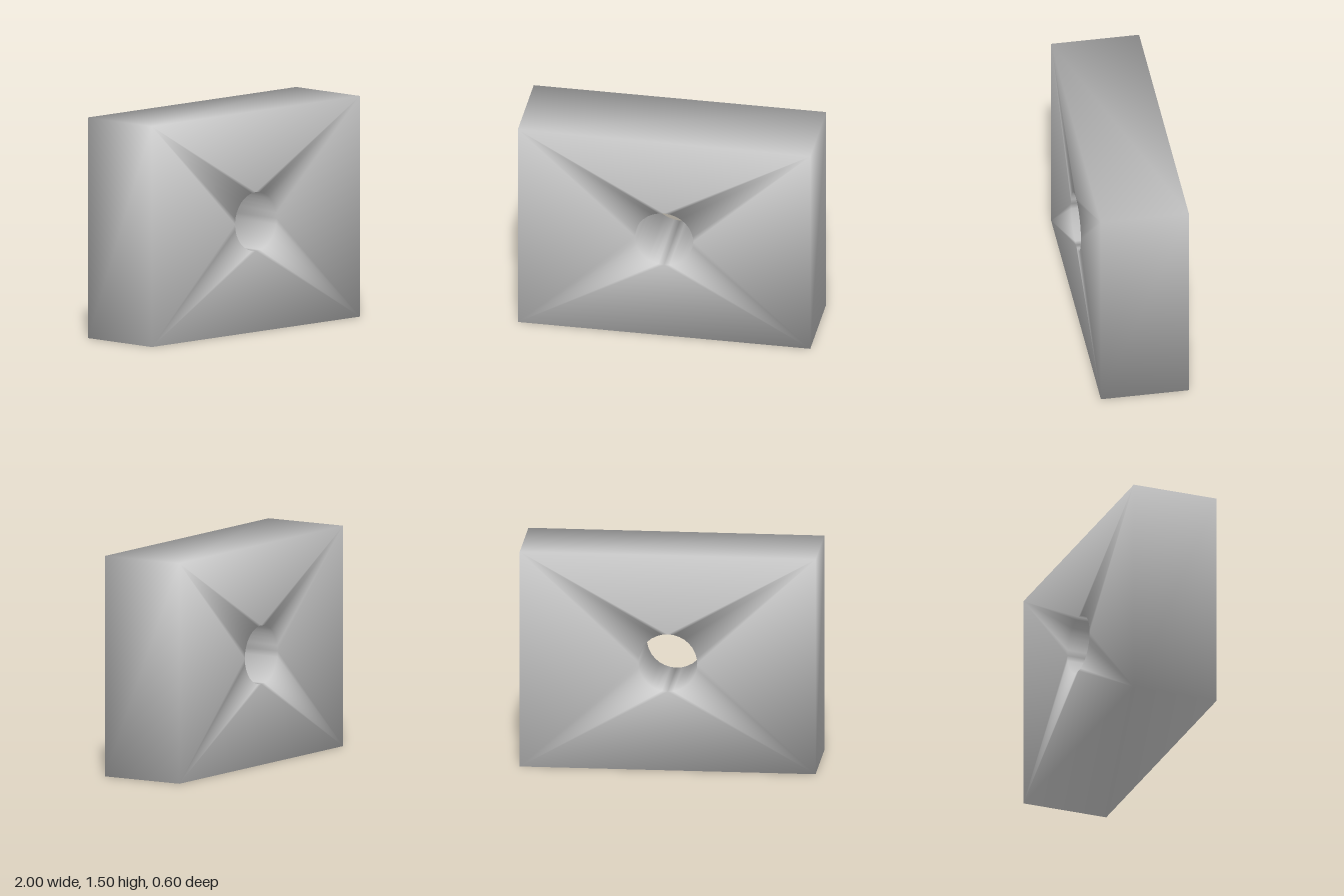
import * as THREE from 'three';

const WIDTH = 2, HEIGHT = 1.5, DEPTH = 0.6, RADIUS = 0.2, SIDES = 32;

// Block with a round through-hole; corners and rims share vertices, so shading is smooth throughout
function blockWithHole() {
  const positions = [], indices = [];
  const front = { corner: 0, rim: 4 }, back = { corner: 4 + SIDES, rim: 8 + SIDES };

  // Four corners and one rim for each face
  for (const z of [DEPTH / 2, -DEPTH / 2]) {
    for (const [sx, sy] of [[1, 1], [-1, 1], [-1, -1], [1, -1]]) {
      positions.push(sx * WIDTH / 2, HEIGHT / 2 + sy * HEIGHT / 2, z);
    }
    for (let i = 0; i < SIDES; i++) {
      const a = (i / SIDES) * Math.PI * 2;
      positions.push(RADIUS * Math.cos(a), HEIGHT / 2 + RADIUS * Math.sin(a), z);
    }
  }
  const tri = (a, b, c) => indices.push(a, b, c);
  const quarter = SIDES / 4;

  for (let q = 0; q < 4; q++) {
    const next = (q + 1) % 4;

    // Fan from each corner to its quarter of the rim, and the hole wall
    for (let i = q * quarter; i < (q + 1) * quarter; i++) {
      const j = (i + 1) % SIDES;
      tri(front.corner + q, front.rim + j, front.rim + i);
      tri(back.corner + q, back.rim + i, back.rim + j);
      tri(front.rim + i, front.rim + j, back.rim + j);
      tri(front.rim + i, back.rim + j, back.rim + i);
    }

    // Large triangle between neighbouring corners and the rim
    const mid = ((q + 1) * quarter) % SIDES;
    tri(front.corner + q, front.corner + next, front.rim + mid);
    tri(back.corner + next, back.corner + q, back.rim + mid);

    // Outer wall, with diagonals alternating around the block
    const af = front.corner + q, bf = front.corner + next;
    const ab = back.corner + q, bb = back.corner + next;
    if (q % 2 === 0) {
      tri(af, ab, bf);
      tri(ab, bb, bf);
    } else {
      tri(af, ab, bb);
      tri(af, bb, bf);
    }
  }

  const geometry = new THREE.BufferGeometry();
  geometry.setAttribute('position', new THREE.Float32BufferAttribute(positions, 3));
  geometry.setIndex(indices);
  geometry.computeVertexNormals();
  return geometry;
}

export function createModel() {
  const group = new THREE.Group();
  group.name = 'blockWithRoundHole';
  const block = new THREE.Mesh(blockWithHole(), new THREE.MeshStandardMaterial({ color: 0xcccccc }));
  block.name = 'block';
  group.add(block);
  return group;
}
